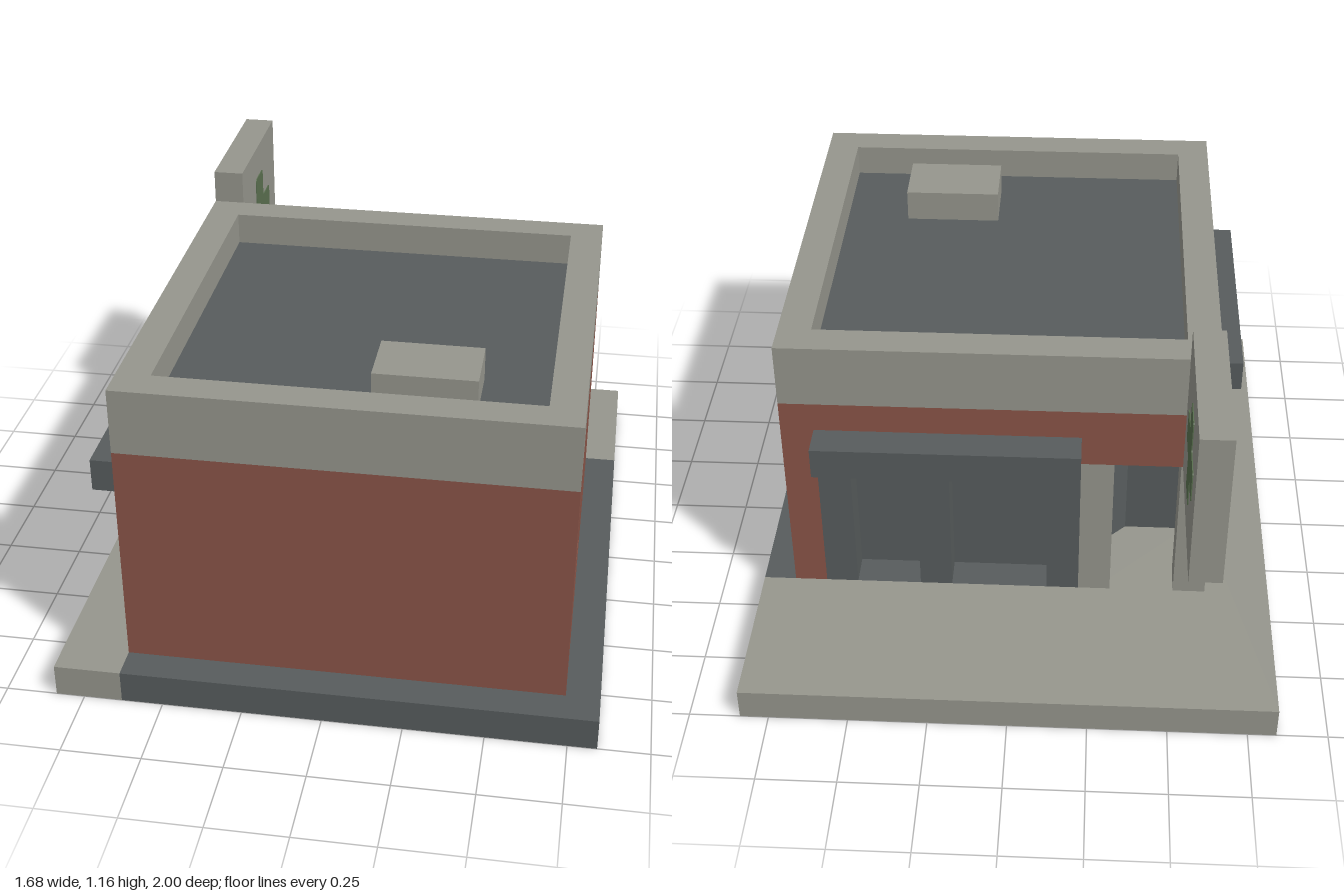
import * as THREE from 'three';

export function createModel() {
  const mat = (name, color) => {
    const m = new THREE.MeshStandardMaterial({ color });
    m.name = name;
    return m;
  };
  const brick = mat('brick', 0x8a5548);
  const concrete = mat('light concrete', 0x96968d);
  const slate = mat('dark slate', 0x575c5d);
  const green = mat('green', 0x5a7050);

  const model = new THREE.Group();
  model.name = 'cornerShop';

  const add = (name, geometry, material) => {
    const mesh = new THREE.Mesh(geometry, material);
    mesh.name = name;
    model.add(mesh);
    return mesh;
  };
  // Box from its limits on each axis
  const box = (name, material, x0, x1, y0, y1, z0, z1) => {
    const g = new THREE.BoxGeometry(x1 - x0, y1 - y0, z1 - z0);
    g.translate((x0 + x1) / 2, (y0 + y1) / 2, (z0 + z1) / 2);
    return add(name, g, material);
  };
  const toShape = (pts) => new THREE.Shape(pts.map(([a, b]) => new THREE.Vector2(a, b)));
  const rect = (a0, a1, b0, b1) => [[a0, b0], [a1, b0], [a1, b1], [a0, b1]];
  // Floor plan in (x, z) raised from y0 to y1
  const plan = (name, material, pts, y0, y1, hole) => {
    const shape = toShape(pts);
    if (hole) shape.holes.push(toShape(hole));
    const g = new THREE.ExtrudeGeometry(shape, { depth: y1 - y0, bevelEnabled: false });
    g.rotateX(Math.PI / 2).translate(0, y1, 0);
    return add(name, g, material);
  };

  // Main levels and footprint
  const U = 0.105, floor = U, lintel = 0.635, band = 0.84, top = 1.05;
  const L = -0.63, R = 0.735, B = -0.475, F = 0.895;

  // Base: dark floor with a notched corner, and the pavement around it
  const notch = [[L, -0.105], [-0.39, -0.105], [-0.265, -0.235], [-0.265, B]];
  plan('floorSlab', slate, [[0.84, 1], [L, 1], ...notch, [0.84, B]], 0, floor);
  plan('pavement', concrete,
    [[-0.84, 1], [-0.84, -1], [0.84, -1], [0.84, B], ...[...notch].reverse(), [L, 1]], 0, floor);

  // Brick walls
  box('frontWall', brick, L, R, floor, lintel, F - U, F);
  const side = toShape(rect(B, F - U, floor, lintel));
  side.holes.push(toShape(rect(0.37, 0.58, 0.315, 0.53)));
  const sideGeo = new THREE.ExtrudeGeometry(side, { depth: U, bevelEnabled: false });
  sideGeo.rotateY(-Math.PI / 2).translate(R, 0, 0);
  add('windowWall', sideGeo, brick);
  box('windowPane', slate, R - U - 0.008, R - U, 0.3, 0.545, 0.355, 0.595);
  box('upperWall', brick, L, R, lintel, band, B, F);

  // Roof and parapet
  plan('parapet', concrete, rect(L, R, B, F), band, top, rect(L + U, R - U, B + U, F - U));
  box('roof', slate, L + U, R - U, band, 0.945, B + U, F - U);
  box('roofUnit', concrete, 0.105, 0.42, 0.945, top, 0.475, 0.68);

  // Shopfronts: recessed glazing, posts and awnings
  box('backGlazing', slate, -0.21, R - U, floor, lintel, B + U, B + U + 0.03);
  for (const x of [-0.21, 0.21, 0.525]) box('backPost', slate, x, x + U, floor, lintel, B, B + U);
  box('backAwning', slate, -0.21, 0.63, lintel, 0.74, B - U, B);
  box('sideGlazing', slate, L + U, L + U + 0.03, floor, lintel, -0.055, F - U);
  for (const z of [-0.055, 0.27, 0.685]) box('sidePost', slate, L, L + U, floor, lintel, z, z + U);
  box('sideAwning', slate, L - U, L, lintel, 0.74, -0.055, 0.79);

  // Corner entrance: cheeks, angled door and column
  box('entranceCheekLight', concrete, -0.315, -0.21, floor, lintel, B, -0.21);
  box('entranceCheekDark', slate, L, -0.36, floor, lintel, -0.16, -0.055);
  const door = add('door', new THREE.BoxGeometry(0.25, lintel - floor, 0.06), slate);
  door.position.set(-0.32, (floor + lintel) / 2, -0.165);
  door.rotation.y = Math.PI / 4;
  box('cornerColumn', concrete, L, L + U, floor, lintel, B, B + U);

  // Projecting sign with a cross on both faces
  box('signBoard', concrete, L, L + 0.1, lintel, 1.16, -1, B);
  const a = 0.155, w = 0.053, r = 0.012;
  const corners = [[w, w], [w, a], [-w, a], [-w, w], [-a, w], [-a, -w],
    [-w, -w], [-w, -a], [w, -a], [w, -w], [a, -w], [a, w]]
    .map(([x, y]) => new THREE.Vector2(x, y));
  const cross = new THREE.Shape();
  corners.forEach((p, i) => {
    const toward = (q) => p.clone().add(q.clone().sub(p).setLength(r));
    const p0 = toward(corners[(i + 11) % 12]);
    const p1 = toward(corners[(i + 1) % 12]);
    if (i === 0) cross.moveTo(p0.x, p0.y);
    else cross.lineTo(p0.x, p0.y);
    cross.quadraticCurveTo(p.x, p.y, p1.x, p1.y);
  });
  cross.closePath();
  const crossGeo = new THREE.ExtrudeGeometry(cross, { depth: 0.004, bevelEnabled: false, curveSegments: 3 });
  crossGeo.rotateY(Math.PI / 2);
  for (const x of [L - 0.003, L + 0.099]) {
    add('signCross', crossGeo, green).position.set(x, 0.895, -0.735);
  }

  return model;
}
